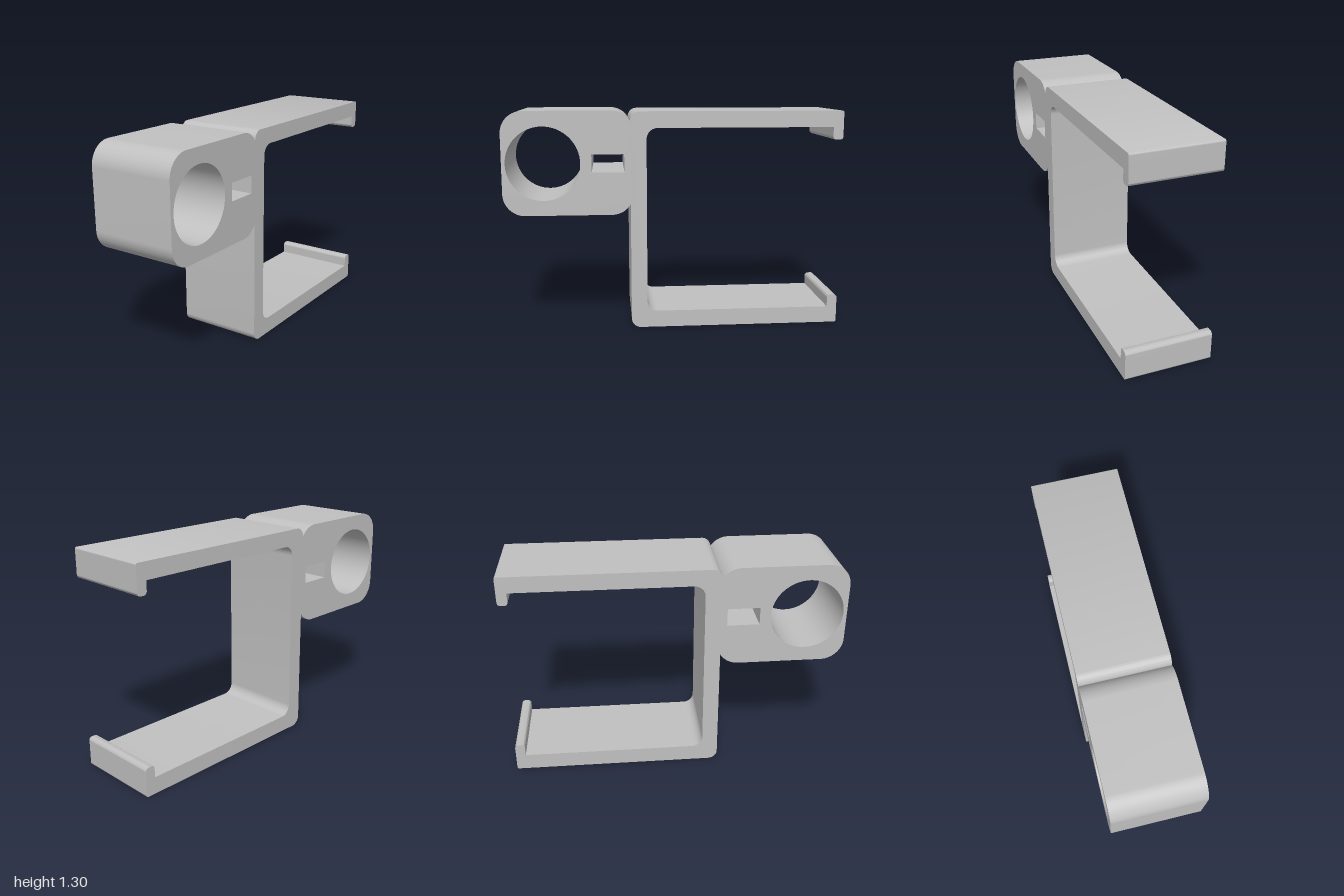
import * as THREE from 'three';
import { toCreasedNormals } from 'three/addons/utils/BufferGeometryUtils.js';

const WIDTH = 0.52;

// Arc in degrees; a straight line joins it to the previous point.
function arc(path, cx, cy, r, from, to, clockwise = false) {
  const rad = THREE.MathUtils.degToRad;
  path.absarc(cx, cy, r, rad(from), rad(to), clockwise);
}

// Side profile: horizontal axis runs from the front (-1) to the back (+1).
function bracketProfile() {
  const s = new THREE.Shape();

  // lower arm with its upturned lip
  arc(s, -0.205, 0.055, 0.055, 180, 270);
  arc(s, 0.99, 0.01, 0.01, 270, 360);
  arc(s, 0.98, 0.155, 0.02, 0, 90);
  arc(s, 0.96, 0.155, 0.02, 90, 180);
  s.lineTo(0.94, 0.1);

  // inside of the channel
  arc(s, -0.1, 0.165, 0.065, 270, 180, true);
  arc(s, -0.1, 1.135, 0.065, 180, 90, true);
  s.lineTo(0.94, 1.2);

  // upper arm with its downturned lip
  arc(s, 0.96, 1.145, 0.02, 180, 270);
  arc(s, 0.98, 1.145, 0.02, 270, 360);
  arc(s, 0.99, 1.286, 0.01, 0, 90);
  arc(s, -0.205, 1.241, 0.055, 90, 180);

  // rounded clamp block, meeting the back plate in two notches
  arc(s, -0.37, 1.171, 0.13, 32.2, 90);
  arc(s, -0.87, 1.171, 0.13, 90, 180);
  arc(s, -0.87, 0.824, 0.13, 180, 270);
  arc(s, -0.37, 0.824, 0.13, 270, 327.8);
  s.closePath();

  // round bore
  const bore = new THREE.Path();
  bore.absarc(-0.764, 0.997, 0.215, 0, Math.PI * 2, true);

  // rectangular strap slot
  const slot = new THREE.Path();
  slot.moveTo(-0.485, 0.945);
  slot.lineTo(-0.485, 1.05);
  slot.lineTo(-0.295, 1.05);
  slot.lineTo(-0.295, 0.945);
  slot.closePath();

  s.holes.push(bore, slot);
  return s;
}

export function createModel() {
  const group = new THREE.Group();
  group.name = 'clampBracket';

  const grey = new THREE.MeshStandardMaterial({ color: 0xc0c0c0 });
  grey.name = 'grey plastic';

  // extrude across the width, then turn so the clamp faces the front
  const extruded = new THREE.ExtrudeGeometry(bracketProfile(), {
    depth: WIDTH, bevelEnabled: false, curveSegments: 32,
  });
  extruded.translate(0, 0, -WIDTH / 2);
  extruded.rotateY(Math.PI / 2);

  const bracket = new THREE.Mesh(toCreasedNormals(extruded, 0.5), grey);
  bracket.name = 'bracketBody';
  group.add(bracket);
  return group;
}
